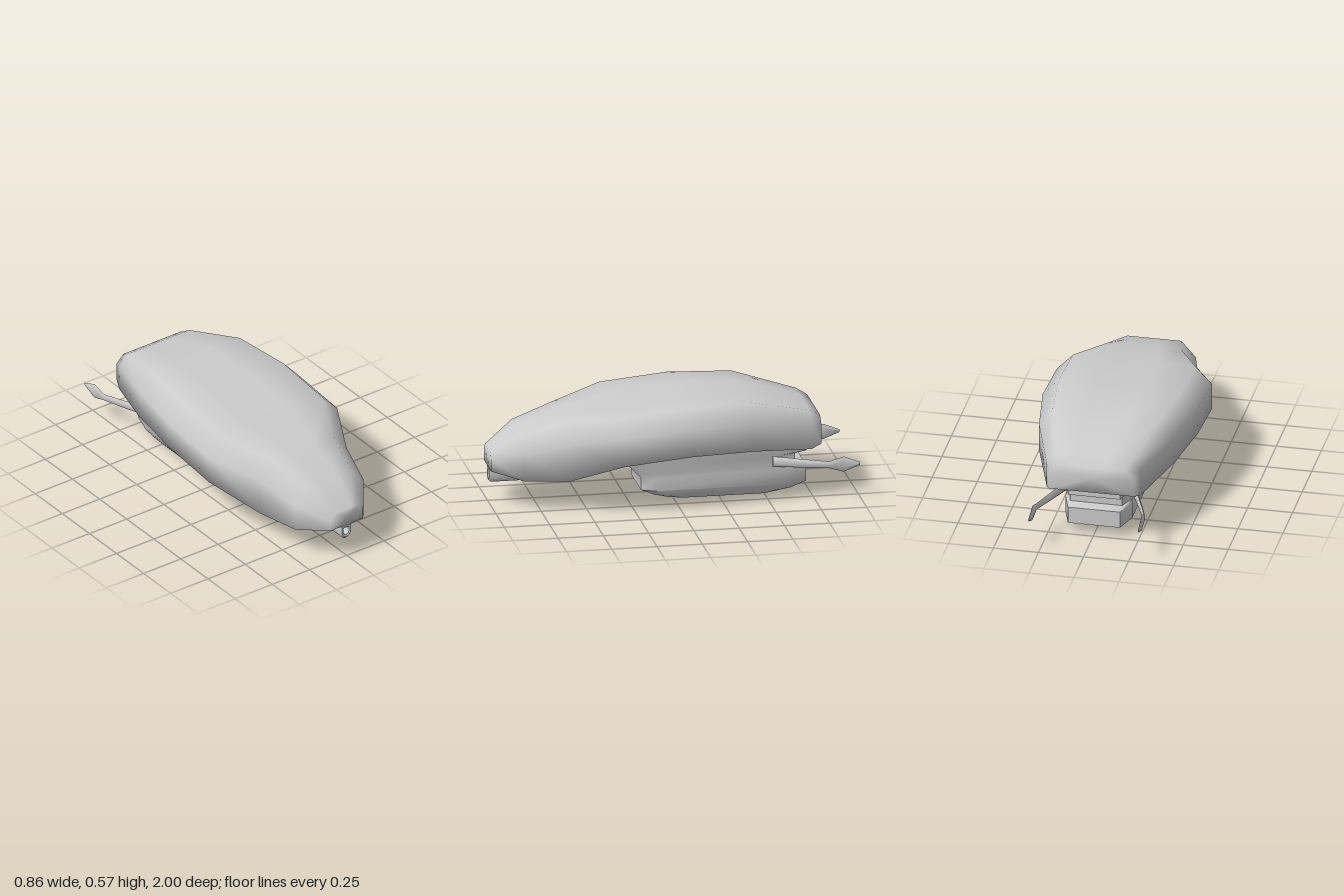
import * as THREE from 'three';
import { toCreasedNormals } from 'three/addons/utils/BufferGeometryUtils.js';

const material = new THREE.MeshStandardMaterial({ color: 0xcccccc, side: THREE.DoubleSide });

// Closed solid through rings of [x, y, z] points; faces are turned outward by signed volume.
function loft(rings, crease) {
  const n = rings[0].length;
  const pts = rings.flat();
  const faces = [];
  for (let r = 0; r < rings.length - 1; r++) {
    for (let i = 0; i < n; i++) {
      const a = r * n + i, b = r * n + (i + 1) % n;
      faces.push([a, b, b + n], [a, b + n, a + n]);
    }
  }
  [0, rings.length - 1].forEach((r, end) => {
    const c = pts.length;
    pts.push([0, 1, 2].map(k => rings[r].reduce((s, p) => s + p[k], 0) / n));
    for (let i = 0; i < n; i++) {
      const a = r * n + i, b = r * n + (i + 1) % n;
      faces.push(end ? [a, b, c] : [b, a, c]);
    }
  });
  const v = pts.map(p => new THREE.Vector3(...p));
  const volume = faces.reduce((s, [a, b, c]) => s + v[a].dot(v[b].clone().cross(v[c])), 0);
  if (volume < 0) faces.forEach(f => f.reverse());
  const geo = new THREE.BufferGeometry().setFromPoints(v);
  geo.setIndex(faces.flat());
  geo.computeVertexNormals();
  return crease ? toCreasedNormals(geo, crease) : geo;
}

function part(name, geo) {
  const mesh = new THREE.Mesh(geo, material);
  mesh.name = name;
  return mesh;
}

// Mirror a half outline (x > 0) into a closed ring.
const mirrorX = half => [...half, ...half.map(([x, y, z]) => [-x, y, z]).reverse()];

// Broad hull: chamfered shoulders, flat underside, waisted towards the nose.
function hull() {
  // z, half width, roof half width, roof y, shoulder y, underside y
  const stations = [
    [1.0, 0.11, 0.08, 0.30, 0.26, 0.20],
    [0.84, 0.23, 0.15, 0.41, 0.32, 0.172],
    [0.6, 0.29, 0.20, 0.485, 0.38, 0.175],
    [0.32, 0.43, 0.34, 0.535, 0.44, 0.285],
    [-0.05, 0.43, 0.34, 0.57, 0.47, 0.32],
    [-0.4, 0.375, 0.30, 0.57, 0.47, 0.315],
    [-0.74, 0.26, 0.21, 0.48, 0.42, 0.275],
    [-0.8, 0.235, 0.19, 0.445, 0.40, 0.295],
  ];
  return loft(stations.map(([z, w, wt, yt, ys, yb]) => mirrorX([
    [wt * 0.4, yt, z], [wt, yt, z], [w, ys, z], [w, yb, z], [w * 0.45, yb, z],
  ])));
}

// Lower pod, built from horizontal outlines with a recess across the stern.
function pod() {
  // y, front z, back z, half width
  const levels = [
    [0.003, 0.03, -0.53, 0.145],
    [0.022, 0.10, -0.65, 0.16],
    [0.06, 0.18, -0.73, 0.185],
    [0.13, 0.18, -0.73, 0.185],
    [0.155, 0.205, -0.73, 0.185],
    [0.165, 0.215, -0.67, 0.185],
    [0.222, 0.27, -0.67, 0.185],
    [0.232, 0.28, -0.73, 0.185],
    [0.33, 0.37, -0.73, 0.185],
  ];
  return loft(levels.map(([y, zf, zb, w]) => mirrorX([
    [w * 0.3, y, zf], [w * 0.78, y, zf], [w, y, zf - 0.08],
    [w, y, -0.6 + (zb + 0.73) * 0.5], [w * 0.78, y, zb], [w * 0.3, y, zb],
  ])), 0.9);
}

// Rear prong: a thin blade that bends outward and ends in a pointed tip.
function prong(side) {
  // z, x, half thickness, low y, high y
  const sections = [
    [-0.54, 0.185, 0.012, 0.165, 0.222],
    [-0.72, 0.257, 0.009, 0.168, 0.215],
    [-0.83, 0.299, 0.006, 0.173, 0.211],
    [-0.91, 0.303, 0.006, 0.15, 0.236],
    [-1.0, 0.304, 0.003, 0.185, 0.2],
  ];
  return loft(sections.map(([z, x, t, lo, hi]) => {
    const m = (lo + hi) / 2, q = (hi - lo) / 4;
    return [[t, m - q], [t, m + q], [0, hi], [-t, m + q], [-t, m - q], [0, lo]]
      .map(([dx, y]) => [side * (x + dx), y, z]);
  }), 0.9);
}

// Chin nozzle: U-shaped tube with a hollow mouth, fading up into the hull.
function nozzle() {
  // z, half width, top y, bottom y; the first ring is the floor of the bore
  const sections = [
    [0.9, 0.016, 0.178, 0.142],
    [0.995, 0.019, 0.18, 0.135],
    [0.998, 0.031, 0.196, 0.122],
    [0.985, 0.034, 0.196, 0.108],
    [0.8, 0.034, 0.196, 0.108],
    [0.74, 0.034, 0.196, 0.128],
    [0.68, 0.03, 0.198, 0.172],
  ];
  return loft(sections.map(([z, w, top, bottom]) => {
    const ring = [[w, top, z]];
    const h = (top - bottom) * 0.55;
    for (let i = 0; i <= 8; i++) {
      const a = Math.PI * i / 8;
      ring.push([w * Math.cos(a), bottom + h * (1 - Math.sin(a)), z]);
    }
    ring.push([-w, top, z]);
    return ring;
  }), 0.9);
}

export function createModel() {
  const model = new THREE.Group();
  model.name = 'hoverCraft';
  model.add(part('hull', hull()), part('lowerPod', pod()), part('chinNozzle', nozzle()));
  model.add(part('leftProng', prong(1)), part('rightProng', prong(-1)));
  return model;
}
